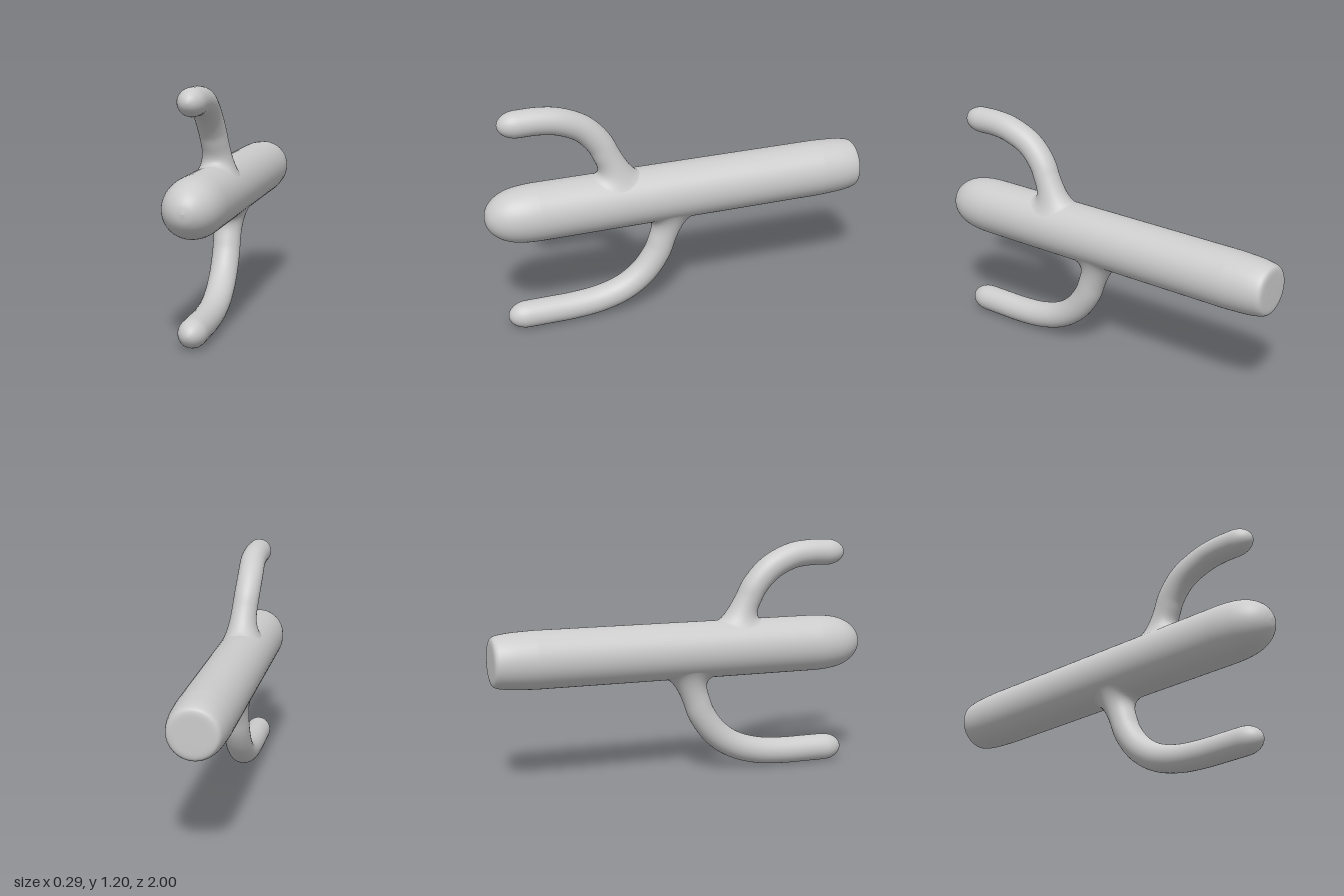
import * as THREE from 'three';

const TRUNK_Y = 0.647, TRUNK_R = 0.147, SIDES = 32;

function material() {
  return new THREE.MeshStandardMaterial({ color: 0xcccccc });
}

// Trunk: a lathe lying along z, domed at the front and blunt at the back
function makeTrunk() {
  const v = (r, z) => new THREE.Vector2(r, z);
  const back = new THREE.SplineCurve([
    v(0, -1), v(0.06, -1), v(0.105, -0.998), v(0.125, -0.985), v(0.135, -0.95), v(0.142, -0.89), v(TRUNK_R, -0.78),
  ]);
  const front = new THREE.SplineCurve([
    v(TRUNK_R, 0.74), v(0.144, 0.8), v(0.134, 0.865), v(0.115, 0.918), v(0.085, 0.961), v(0.045, 0.99), v(0, 1),
  ]);
  const profile = [...back.getPoints(30), ...front.getPoints(30)];
  profile[0].x = 0;
  const geometry = new THREE.LatheGeometry(profile, 64);
  geometry.rotateX(Math.PI / 2);
  const trunk = new THREE.Mesh(geometry, material());
  trunk.name = 'trunk';
  trunk.position.y = TRUNK_Y;
  return trunk;
}

// Arm: rings swept along a path of [z, y] points, flared onto the trunk at
// the root and closed by a dome at the tip. up is +1 or -1.
function makeArm(name, path, radius, up, footZ, footHalf) {
  const curve = new THREE.CatmullRomCurve3(path.map(([z, y, x = 0]) => new THREE.Vector3(x, y, z)));
  const rings = [];
  const ring = (center, tangent, r) => {
    const side = new THREE.Vector3(1, 0, 0);
    const normal = new THREE.Vector3().crossVectors(tangent, side).normalize();
    return Array.from({ length: SIDES }, (_, j) => {
      const a = (j / SIDES) * Math.PI * 2;
      return center.clone().addScaledVector(side, r * Math.cos(a)).addScaledVector(normal, r * Math.sin(a));
    });
  };

  // Flared root, from a footprint on the trunk surface up to the first ring
  const rootTangent = curve.getTangent(0);
  const first = ring(curve.getPoint(0), rootTangent, radius);
  const flare = first.map((top, j) => {
    const a = (j / SIDES) * Math.PI * 2;
    const x = 0.125 * Math.cos(a);
    const y = TRUNK_Y + up * (Math.sqrt(TRUNK_R ** 2 - x * x) - 0.002);
    const foot = new THREE.Vector3(x, y, footZ - up * footHalf * Math.sin(a));
    const level = TRUNK_Y + up * 0.14;
    const reach = Math.abs(top.y - level) / Math.abs(rootTangent.y);
    return new THREE.QuadraticBezierCurve3(foot, top.clone().addScaledVector(rootTangent, -reach), top);
  });
  const FLARE = 10, LENGTH = 40, DOME = 10;
  for (let i = 0; i < FLARE; i++) rings.push(flare.map((c) => c.getPoint(i / FLARE)));

  // Bent limb
  for (let i = 0; i <= LENGTH; i++) {
    rings.push(ring(curve.getPointAt(i / LENGTH), curve.getTangentAt(i / LENGTH), radius));
  }

  // Domed tip
  const end = curve.getPoint(1), forward = new THREE.Vector3(0, 0, 1);
  for (let i = 1; i <= DOME; i++) {
    const a = (i / DOME) * Math.PI / 2;
    const center = end.clone().addScaledVector(forward, 0.1 * Math.sin(a));
    rings.push(ring(center, forward, Math.max(radius * Math.cos(a), 0.0005)));
  }

  const index = [];
  for (let i = 0; i < rings.length - 1; i++) {
    for (let j = 0; j < SIDES; j++) {
      const k = (j + 1) % SIDES;
      const a = i * SIDES + j, b = i * SIDES + k;
      index.push(a, b, b + SIDES, a, b + SIDES, a + SIDES);
    }
  }
  const geometry = new THREE.BufferGeometry().setFromPoints(rings.flat());
  geometry.setIndex(index);
  geometry.computeVertexNormals();
  const arm = new THREE.Mesh(geometry, material());
  arm.name = name;
  return arm;
}

export function createModel() {
  const model = new THREE.Group();
  model.name = 'branchedTrunk';
  model.add(makeTrunk());
  model.add(makeArm('upperArm', [
    [0.368, 0.9, 0.004], [0.402, 0.968, -0.002], [0.485, 1.056, -0.006], [0.61, 1.115], [0.71, 1.13], [0.81, 1.13],
  ], 0.068, 1, 0.33, 0.14));
  model.add(makeArm('lowerArm', [
    [0.077, 0.385], [0.105, 0.31], [0.18, 0.205], [0.285, 0.129], [0.42, 0.086], [0.57, 0.071], [0.69, 0.07], [0.81, 0.07],
  ], 0.07, -1, 0.045, 0.15));
  return model;
}
